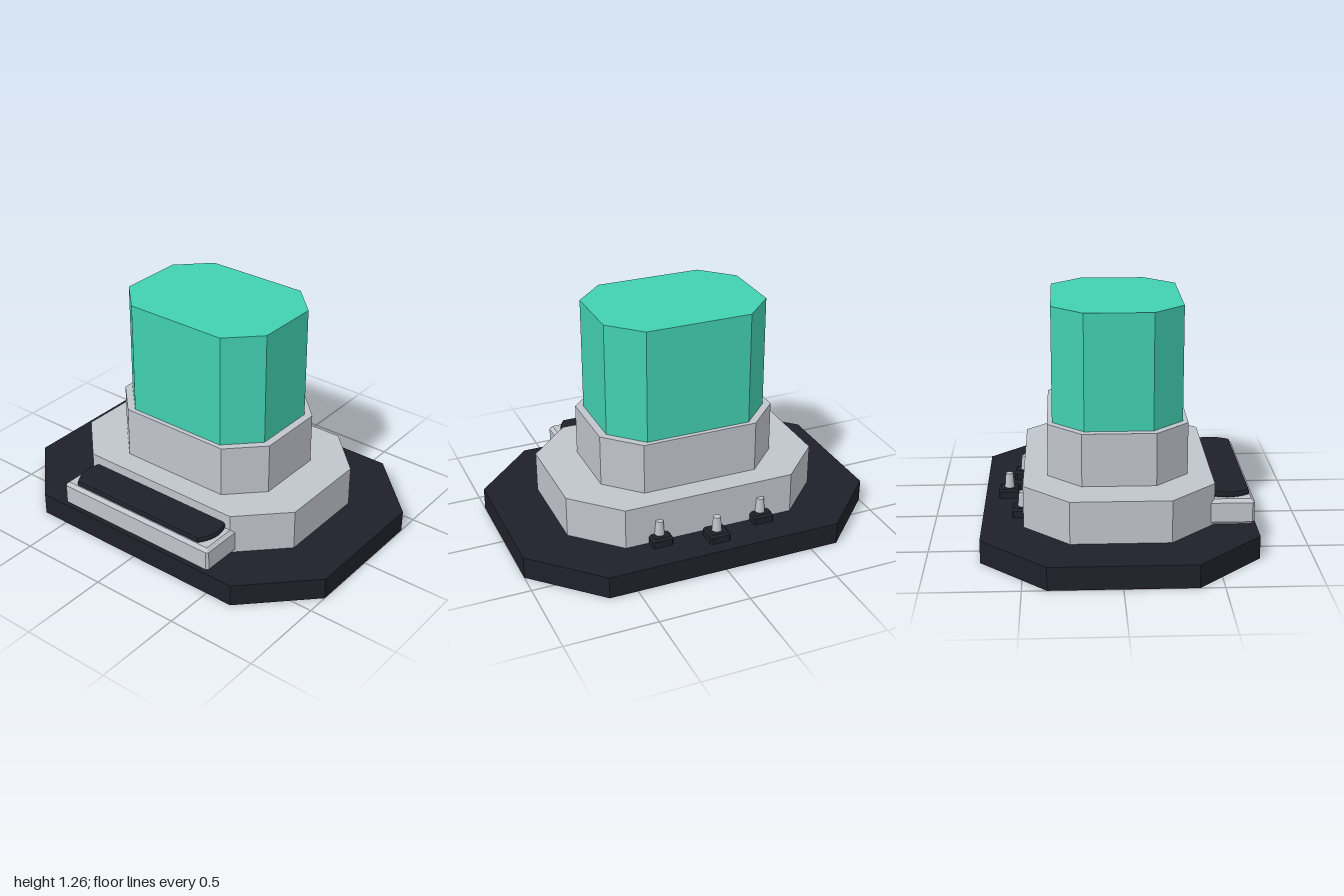
import * as THREE from 'three';

const mat = (name, color) => {
  const m = new THREE.MeshStandardMaterial({ color });
  m.name = name;
  return m;
};

// Octagon: a rectangle with its four corners cut off
function octagon(hx, hz, cut) {
  const pts = [
    [hx, -hz + cut], [hx, hz - cut], [hx - cut, hz], [-hx + cut, hz],
    [-hx, hz - cut], [-hx, -hz + cut], [-hx + cut, -hz], [hx - cut, -hz],
  ];
  return new THREE.Shape(pts.map(([x, y]) => new THREE.Vector2(x, y)));
}

// Extrude a plan shape upward from y0 to y1, with an optional bevel inside that height
function slab(shape, y0, y1, bevel = 0, bevelSegments = 1) {
  const g = new THREE.ExtrudeGeometry(shape, {
    depth: y1 - y0 - 2 * bevel, bevelEnabled: bevel > 0, bevelThickness: bevel,
    bevelSize: bevel, bevelOffset: -bevel, bevelSegments, curveSegments: 8,
  });
  g.rotateX(-Math.PI / 2);
  g.translate(0, y0 + bevel, 0);
  return g;
}

export function createModel() {
  const dark = mat('darkNavy', 0x20202b);
  const grey = mat('lightGrey', 0xc0c4cc);
  const teal = mat('teal', 0x42d0b0);
  const model = new THREE.Group();
  model.name = 'steppedTower';

  const add = (name, geometry, material, x = 0, y = 0, z = 0, parent = model) => {
    const mesh = new THREE.Mesh(geometry, material);
    mesh.name = name;
    mesh.position.set(x, y, z);
    parent.add(mesh);
    return mesh;
  };

  // Stacked octagonal tiers: half width, half depth, corner cut, bottom, top
  for (const [name, hx, hz, cut, y0, y1, m] of [
    ['basePlate', 1, 0.72, 0.345, 0, 0.123, dark],
    ['lowerTier', 0.72, 0.5, 0.24, 0.123, 0.35, grey],
    ['upperTier', 0.5, 0.372, 0.178, 0.35, 0.635, grey],
    ['tower', 0.458, 0.346, 0.166, 0.635, 1.258, teal],
  ]) add(name, slab(octagon(hx, hz, cut), y0, y1), m);

  // Bevelled tray on the front
  add('frontTray', slab(octagon(0.5, 0.13, 0.012), 0.123, 0.265, 0.018), grey, 0, 0, 0.581);

  // Pad with bowed ends, lying on the tray
  const pad = new THREE.Shape();
  pad.moveTo(-0.42, -0.12);
  pad.lineTo(0.42, -0.12);
  pad.quadraticCurveTo(0.51, 0, 0.42, 0.12);
  pad.lineTo(-0.42, 0.12);
  pad.quadraticCurveTo(-0.51, 0, -0.42, -0.12);
  const padGeometry = slab(pad, 0.258, 0.298, 0.015, 2);
  add('frontPad', padGeometry, dark, 0, 0, 0.57);

  // Three pins in square sockets at the back
  for (const [x, z] of [[-0.293, -0.507], [0, -0.588], [0.293, -0.507]]) {
    const pin = new THREE.Group();
    pin.name = 'rearPin';
    pin.position.set(x, 0, z);
    model.add(pin);
    add('pinSocket', slab(octagon(0.058, 0.058, 0.01), 0.11, 0.172, 0.012), dark, 0, 0, 0, pin);
    add('pinPost', new THREE.CylinderGeometry(0.02, 0.027, 0.085, 16), grey, 0, 0.21, 0, pin);
  }
  return model;
}
